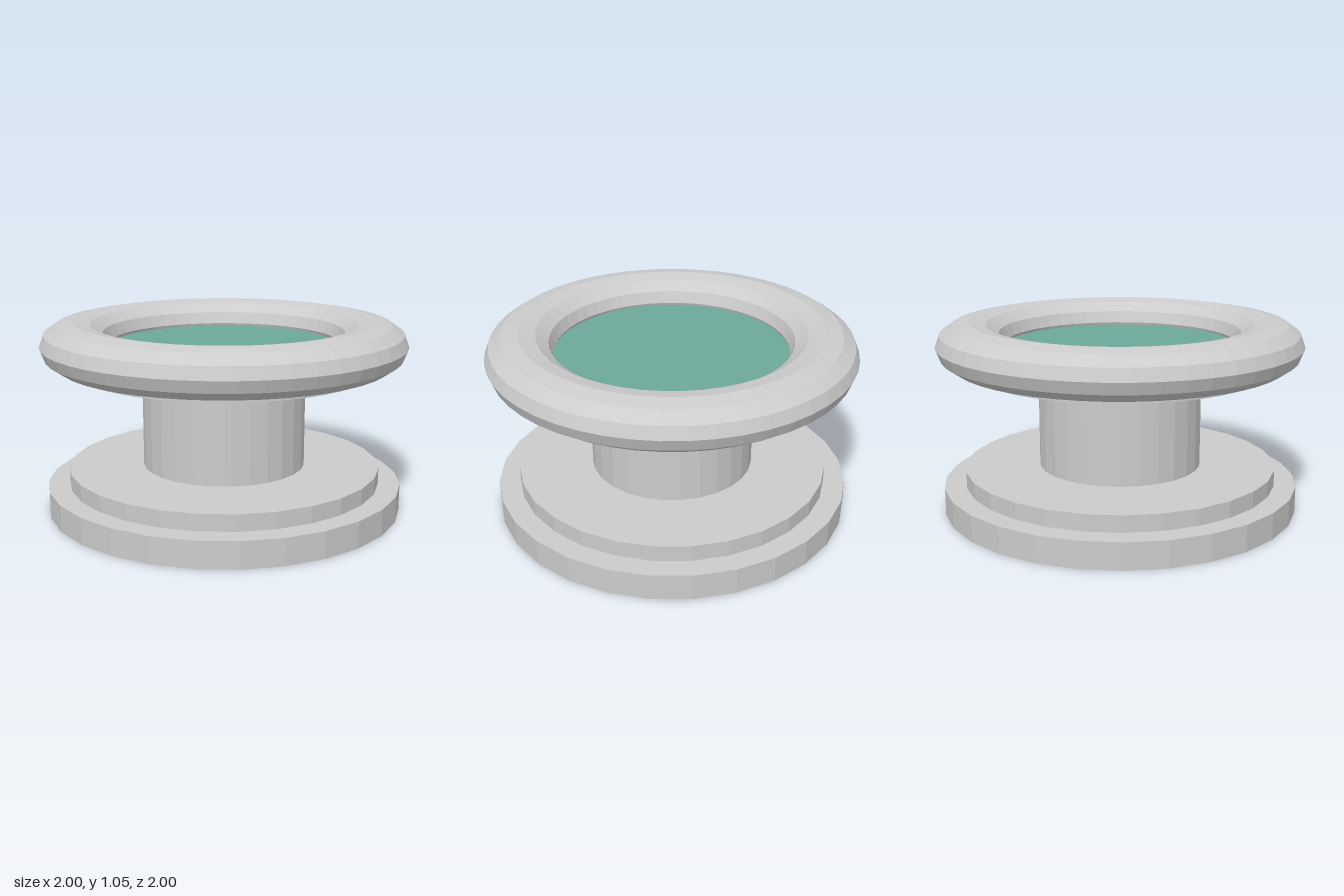
import * as THREE from 'three';

const stone = new THREE.MeshStandardMaterial({ color: 0xcccccc, flatShading: true });
const waterColor = new THREE.MeshStandardMaterial({ color: 0x6da89b });

export function createModel() {
  const group = new THREE.Group();
  const add = (name, geometry, material = stone) => {
    const mesh = new THREE.Mesh(geometry, material);
    mesh.name = name;
    group.add(mesh);
  };
  // Upright round block between two heights, a flat facet facing front
  const drum = (name, radius, y0, y1, sides = 28) =>
    add(name, new THREE.CylinderGeometry(radius, radius, y1 - y0, sides)
      .rotateY(Math.PI / sides).translate(0, (y0 + y1) / 2, 0));

  // Stepped base, column and basin floor
  drum('baseStep', 0.982, 0, 0.145);
  drum('upperStep', 0.863, 0.145, 0.235);
  drum('column', 0.45, 0.235, 0.775);
  drum('basinFloor', 0.817, 0.775, 0.87, 48);

  // Flattened ring rim
  const rim = new THREE.TorusGeometry(0.8165, 0.1835, 12, 48);
  rim.rotateX(-Math.PI / 2).scale(1, 0.7, 1).translate(0, 0.92, 0);
  add('rim', rim);

  // Water surface, its edge hidden inside the rim
  add('water', new THREE.CircleGeometry(0.7, 48).rotateX(-Math.PI / 2).translate(0, 0.905, 0), waterColor);

  return group;
}
